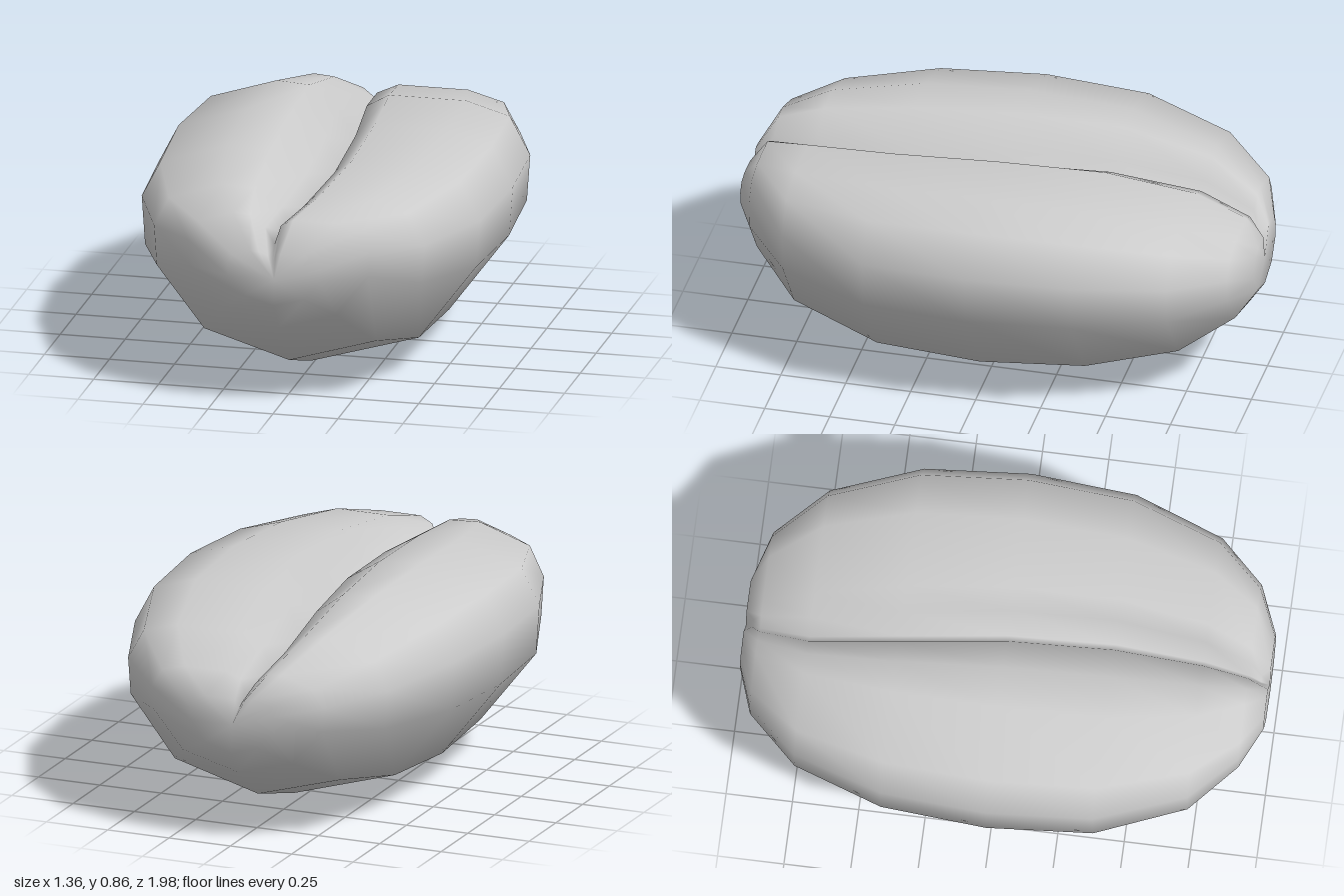
import * as THREE from 'three';

// Stations along the bean: z, half width, bottom, top, crease x
const STATIONS = [
  [-0.99, 0.17, 0.36, 0.58, -0.02],
  [-0.93, 0.35, 0.27, 0.67, -0.05],
  [-0.74, 0.53, 0.13, 0.77, -0.08],
  [-0.40, 0.65, 0.035, 0.845, -0.05],
  [0.00, 0.68, 0.0, 0.86, 0.0],
  [0.40, 0.65, 0.02, 0.84, 0.02],
  [0.74, 0.52, 0.13, 0.80, 0.0],
  [0.91, 0.35, 0.31, 0.75, -0.03],
  [0.985, 0.18, 0.42, 0.63, -0.02],
];

// Cross-section, counter-clockwise seen from the front: x share, y share, crease influence
const SECTION = [
  [0, 0, 0], [0.64, 0.15, 0], [0.98, 0.51, 0], [1, 0.73, 0], [0.88, 0.91, 0],
  [0.62, 0.97, 0], [0.22, 0.97, 0.7], [0.11, 0.91, 1], [0.04, 0.74, 1],
  [-0.06, 0.89, 1], [-0.26, 0.99, 0.6], [-0.5, 1, 0], [-0.89, 0.9, 0],
  [-1, 0.73, 0], [-0.98, 0.5, 0], [-0.63, 0.15, 0],
];

function beanGeometry() {
  const positions = [];
  const indices = [];
  const n = SECTION.length;
  for (const [z, w, bottom, top, crease] of STATIONS) {
    for (const [u, v, pull] of SECTION) {
      // the seam is set back a little at both tips
      const setBack = Math.abs(z) > 0.95 && pull === 1 ? 0.03 * Math.sign(z) : 0;
      positions.push(u * w + pull * crease, bottom + v * (top - bottom), z - setBack);
    }
  }
  // skin between neighbouring sections
  for (let s = 0; s < STATIONS.length - 1; s++) {
    for (let i = 0; i < n; i++) {
      const a = s * n + i, b = s * n + (i + 1) % n;
      indices.push(a, b, b + n, a, b + n, a + n);
    }
  }
  // rounded tips
  const last = (STATIONS.length - 1) * n;
  const back = positions.length / 3;
  positions.push(0, 0.47, -0.99, 0, 0.52, 0.985);
  for (let i = 0; i < n; i++) {
    const j = (i + 1) % n;
    indices.push(back, j, i, back + 1, last + i, last + j);
  }
  const geometry = new THREE.BufferGeometry();
  geometry.setAttribute('position', new THREE.Float32BufferAttribute(positions, 3));
  geometry.setIndex(indices);
  geometry.computeVertexNormals();
  return geometry;
}

export function createModel() {
  const group = new THREE.Group();
  group.name = 'bean';
  const grey = new THREE.MeshStandardMaterial({ color: 0xcccccc });
  grey.name = 'light grey';
  const body = new THREE.Mesh(beanGeometry(), grey);
  body.name = 'creasedBody';
  group.add(body);
  return group;
}
